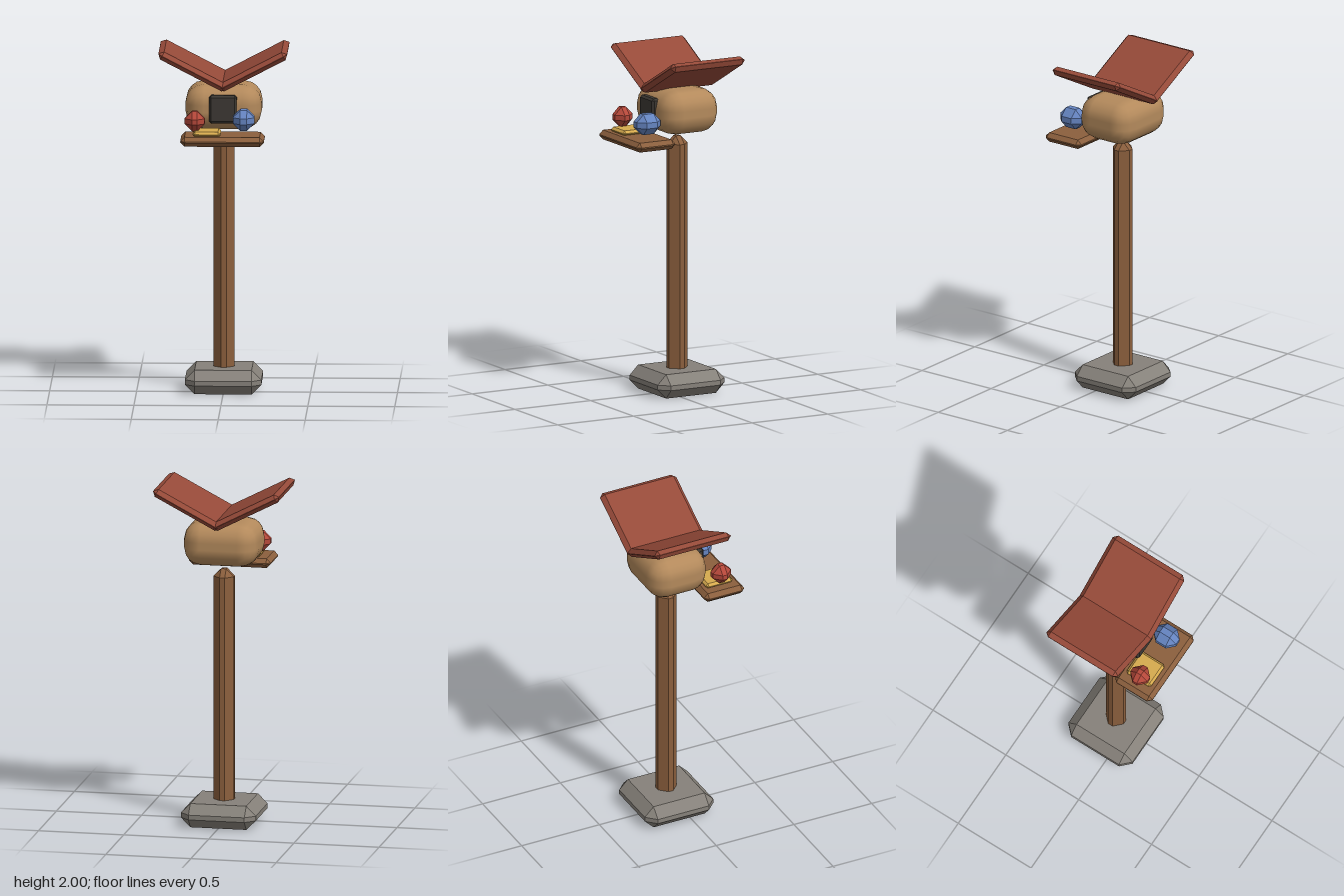
import * as THREE from 'three';
import { ConvexGeometry } from 'three/addons/geometries/ConvexGeometry.js';
import { RoundedBoxGeometry } from 'three/addons/geometries/RoundedBoxGeometry.js';

const mat = (name, color) => {
  const m = new THREE.MeshStandardMaterial({ color });
  m.name = name;
  return m;
};

// Box with every edge and corner cut flat by the bevel
function chamferBox(w, h, d, bevel) {
  const half = [w / 2, h / 2, d / 2];
  const points = [];
  for (let axis = 0; axis < 3; axis++)
    for (const sx of [-1, 1]) for (const sy of [-1, 1]) for (const sz of [-1, 1]) {
      const p = half.map((v, i) => (i === axis ? v : v - bevel));
      points.push(new THREE.Vector3(p[0] * sx, p[1] * sy, p[2] * sz));
    }
  return new ConvexGeometry(points);
}

export function createModel() {
  const group = new THREE.Group();
  group.name = 'birdFeeder';

  const wood = mat('brown wood', 0x8b5f3d);
  const body = mat('tan body', 0xb48a5c);
  const roof = mat('red roof', 0x964a39);
  const stone = mat('grey stone', 0x86817a);
  const dark = mat('dark opening', 0x3c3833);
  const yellow = mat('yellow seed', 0xd6aa4e);
  const red = mat('red bird', 0xb5483a);
  const blue = mat('blue bird', 0x6584c0);

  const add = (name, geometry, material, x, y, z) => {
    const mesh = new THREE.Mesh(geometry, material);
    mesh.name = name;
    mesh.position.set(x, y, z);
    group.add(mesh);
    return mesh;
  };

  // Stand
  add('base', chamferBox(0.44, 0.14, 0.44, 0.056), stone, 0, 0.07, -0.07);
  add('post', chamferBox(0.12, 1.44, 0.12, 0.045), wood, 0, 0.78, -0.07);

  // House with its door
  add('house', new RoundedBoxGeometry(0.44, 0.26, 0.37, 2, 0.11), body, 0, 1.662, -0.07);
  add('door', chamferBox(0.158, 0.162, 0.05, 0.012), dark, 0, 1.664, 0.11);

  // Two sloping roof panels meeting in a valley
  const slope = 0.48, inner = -0.025, outer = 0.37;
  const length = (outer - inner) / Math.cos(slope);
  const midX = (inner + outer) / 2;
  for (const side of [-1, 1]) {
    const panel = add(side > 0 ? 'leftRoofPanel' : 'rightRoofPanel',
      chamferBox(length, 0.05, 0.49, 0.024), roof,
      side * midX, 1.797 + midX * Math.tan(slope), -0.075);
    panel.rotation.z = side * slope;
  }

  // Tray with seed and two round birds
  add('tray', chamferBox(0.48, 0.055, 0.256, 0.024), wood, 0, 1.502, 0.193);
  add('seedBlock', chamferBox(0.16, 0.032, 0.17, 0.014), yellow, -0.09, 1.539, 0.191);
  add('redBird', chamferBox(0.116, 0.116, 0.116, 0.043), red, -0.16, 1.609, 0.2);
  add('blueBird', chamferBox(0.124, 0.12, 0.154, 0.043), blue, 0.122, 1.617, 0.197);

  return group;
}
